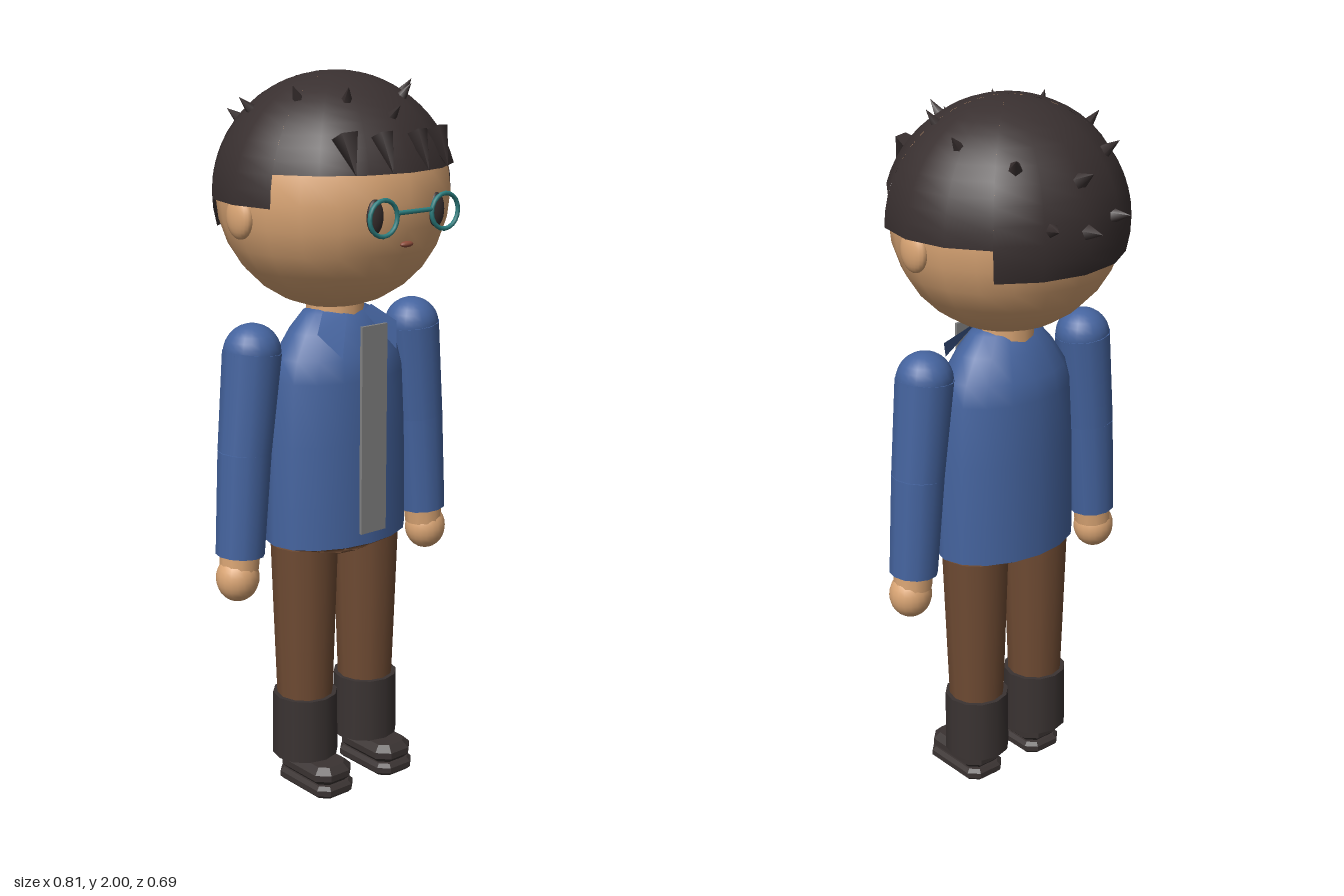
import * as THREE from 'three';

const mat = (name, color, side = THREE.FrontSide) => {
  const m = new THREE.MeshStandardMaterial({ color, side });
  m.name = name;
  return m;
};

export function createModel() {
  const root = new THREE.Group();
  root.name = 'standingFigure';
  const skin = mat('skin', 0xdba675);
  const hair = mat('darkHair', 0x393030, THREE.DoubleSide);
  const boot = mat('bootLeather', 0x3a3332);
  const blue = mat('jacketBlue', 0x45649f, THREE.DoubleSide);
  const brown = mat('trouserBrown', 0x6f4b33);
  const grey = mat('zipGrey', 0x828282);
  const teal = mat('frameTeal', 0x2c7f80);
  const red = mat('mouthRed', 0x8c4c3a);
  const V = (x, y, z) => new THREE.Vector3(x, y, z);
  const UP = V(0, 1, 0);

  const add = (name, geo, material, x = 0, y = 0, z = 0) => {
    const m = new THREE.Mesh(geo, material);
    m.name = name;
    m.position.set(x, y, z);
    root.add(m);
    return m;
  };
  const ball = (name, material, x, y, z, rx, ry, rz) => {
    const m = add(name, new THREE.SphereGeometry(1, 20, 14), material, x, y, z);
    m.scale.set(rx, ry, rz);
    return m;
  };
  // tapered limb from a (radius ra) to b (radius rb)
  const limb = (name, material, a, b, ra, rb, sides = 12) => {
    const m = add(name, new THREE.CylinderGeometry(rb, ra, a.distanceTo(b), sides), material);
    m.position.copy(a).lerp(b, 0.5);
    m.quaternion.setFromUnitVectors(UP, b.clone().sub(a).normalize());
    return m;
  };
  const lathe = (name, material, points, depth, z) => {
    const g = new THREE.LatheGeometry(points.map(p => new THREE.Vector2(p[0], p[1])), 16);
    const m = add(name, g, material, 0, 0, z);
    m.scale.z = depth;
    return m;
  };

  // Head, ears and neck
  const head = V(0, 1.675, 0.012);
  ball('head', skin, 0, 1.682, 0.012, 0.32, 0.312, 0.308);
  limb('neck', skin, V(0, 1.32, 0.02), V(0, 1.42, 0.02), 0.08, 0.08);
  for (const s of [1, -1]) ball('ear', skin, s * 0.313, 1.64, 0.012, 0.025, 0.057, 0.048);

  // Hair cap: short in front, longer at the sides, longest at the back
  const R = [0.337, 0.325, 0.321];
  const step = Math.PI / 8;
  for (const [name, from, count, theta] of [
    ['hairFront', 1, 6, 1.305], ['hairLeft', 7, 3, Math.PI / 2],
    ['hairRight', -2, 3, Math.PI / 2], ['hairBack', 10, 4, 1.85],
  ]) {
    const g = new THREE.SphereGeometry(1, count, 12, from * step, count * step, 0, theta);
    add(name, g, hair, 0, 1.675, 0.015).scale.set(...R);
  }

  // Small hair tufts standing out from the cap
  const tuft = (x, y, z, r = 0.017, l = 0.05) => {
    const d = V(x, y, z).sub(head);
    const k = 1 / Math.hypot(d.x / R[0], d.y / R[1], d.z / R[2]);
    const base = head.clone().addScaledVector(d, k * 0.97);
    limb('hairTuft', hair, base, base.clone().addScaledVector(d.normalize(), l), r, 0.0005, 5);
  };
  tuft(0, 1.9, 0.25);
  tuft(0, 1.83, -0.28, 0.023, 0.06);
  tuft(0, 1.7, -0.32, 0.023, 0.055);
  for (const s of [1, -1]) {
    tuft(s * 0.095, 1.94, 0.18);
    tuft(s * 0.18, 1.94, 0.085);
    tuft(s * 0.225, 1.91, -0.06);
    tuft(s * 0.155, 1.87, -0.2, 0.02);
    tuft(s * 0.11, 1.72, -0.29, 0.02);
  }
  // Fringe locks pointing down over the forehead
  for (const [x, r] of [[-0.155, 0.037], [-0.063, 0.03], [0.05, 0.03], [0.135, 0.037]]) {
    const z = 0.015 + 0.3 * Math.sqrt(1 - (x / 0.32) ** 2);
    limb('fringeLock', hair, V(x, 1.855, z - 0.03), V(x * 1.05, 1.762, z + 0.018), r, 0.0005, 5);
  }

  // Face and round glasses
  for (const s of [1, -1]) {
    ball('eye', hair, s * 0.105, 1.655, 0.302, 0.026, 0.045, 0.014);
    add('glassesRim', new THREE.TorusGeometry(0.046, 0.006, 8, 20), teal, s * 0.105, 1.655, 0.335);
  }
  limb('glassesBridge', teal, V(-0.058, 1.664, 0.335), V(0.058, 1.664, 0.335), 0.006, 0.006, 8);
  ball('mouth', red, 0, 1.576, 0.306, 0.021, 0.008, 0.01);

  // Jacket body and hips
  lathe('jacketBody', blue, [[0.222, 0.73], [0.221, 0.85], [0.217, 1.02], [0.208, 1.19],
    [0.192, 1.25], [0.15, 1.315], [0.105, 1.365], [0.07, 1.375]], 0.68, 0.025);
  lathe('hips', brown, [[0, 0.69], [0.12, 0.69], [0.222, 0.73], [0, 0.732]], 0.68, 0.025);
  add('frontZip', new THREE.BoxGeometry(0.088, 0.578, 0.009), grey, 0, 1.055, 0.181);

  // Collar flaps
  for (const s of [1, -1]) {
    const g = new THREE.BufferGeometry();
    g.setAttribute('position', new THREE.Float32BufferAttribute([
      s * 0.03, 1.365, 0.105, s * 0.095, 1.262, 0.165, s * 0.14, 1.325, 0.115, s * 0.085, 1.373, 0.07], 3));
    g.setIndex(s > 0 ? [0, 1, 2, 0, 2, 3] : [0, 2, 1, 0, 3, 2]);
    g.computeVertexNormals();
    add('collarFlap', g, blue);
  }

  // Chamfered slab with bulging sides, standing on y
  const slab = (name, x, y, z, w, d, h, bevel) => {
    const a = w / 2 - bevel, b = d / 2 - bevel, c = 0.022;
    const shape = new THREE.Shape([[a, b - c], [a - c, b], [c - a, b], [-a, b - c],
      [-a, c - b], [c - a, -b], [a - c, -b], [a, c - b]].map(p => new THREE.Vector2(...p)));
    const g = new THREE.ExtrudeGeometry(shape, {
      depth: h - 2 * bevel, bevelEnabled: true, bevelSize: bevel, bevelThickness: bevel, bevelSegments: 1,
    });
    g.translate(0, 0, bevel).rotateX(-Math.PI / 2);
    add(name, g, boot, x, y, z);
  };

  for (const s of [1, -1]) {
    // Arm with shoulder cap, sleeve and hand
    const shoulder = V(s * 0.283, 1.285, 0.018), elbow = V(s * 0.312, 1.015, 0.018);
    const wrist = V(s * 0.333, 0.732, 0.02);
    ball('shoulderCap', blue, shoulder.x, 1.285, 0.018, 0.078, 0.075, 0.076);
    limb('upperSleeve', blue, elbow, shoulder, 0.073, 0.08);
    limb('lowerSleeve', blue, wrist, elbow, 0.067, 0.073);
    limb('wrist', skin, V(s * 0.338, 0.69, 0.02), V(s * 0.333, 0.745, 0.02), 0.054, 0.056);
    ball('hand', skin, s * 0.344, 0.668, 0.022, 0.06, 0.066, 0.058);

    // Leg, boot and shoe
    const x = s * 0.112;
    limb('thigh', brown, V(x, 0.42, 0.022), V(x, 0.72, 0.022), 0.085, 0.095);
    limb('shin', brown, V(x, 0.25, 0.022), V(x, 0.42, 0.022), 0.079, 0.085);
    limb('bootShaft', boot, V(x, 0.087, 0.022), V(x, 0.272, 0.022), 0.094, 0.092);
    slab('shoeUpper', x, 0.034, 0.072, 0.13, 0.215, 0.054, 0.018);
    slab('shoeSole', x, 0, 0.072, 0.13, 0.222, 0.036, 0.01);
  }
  return root;
}
